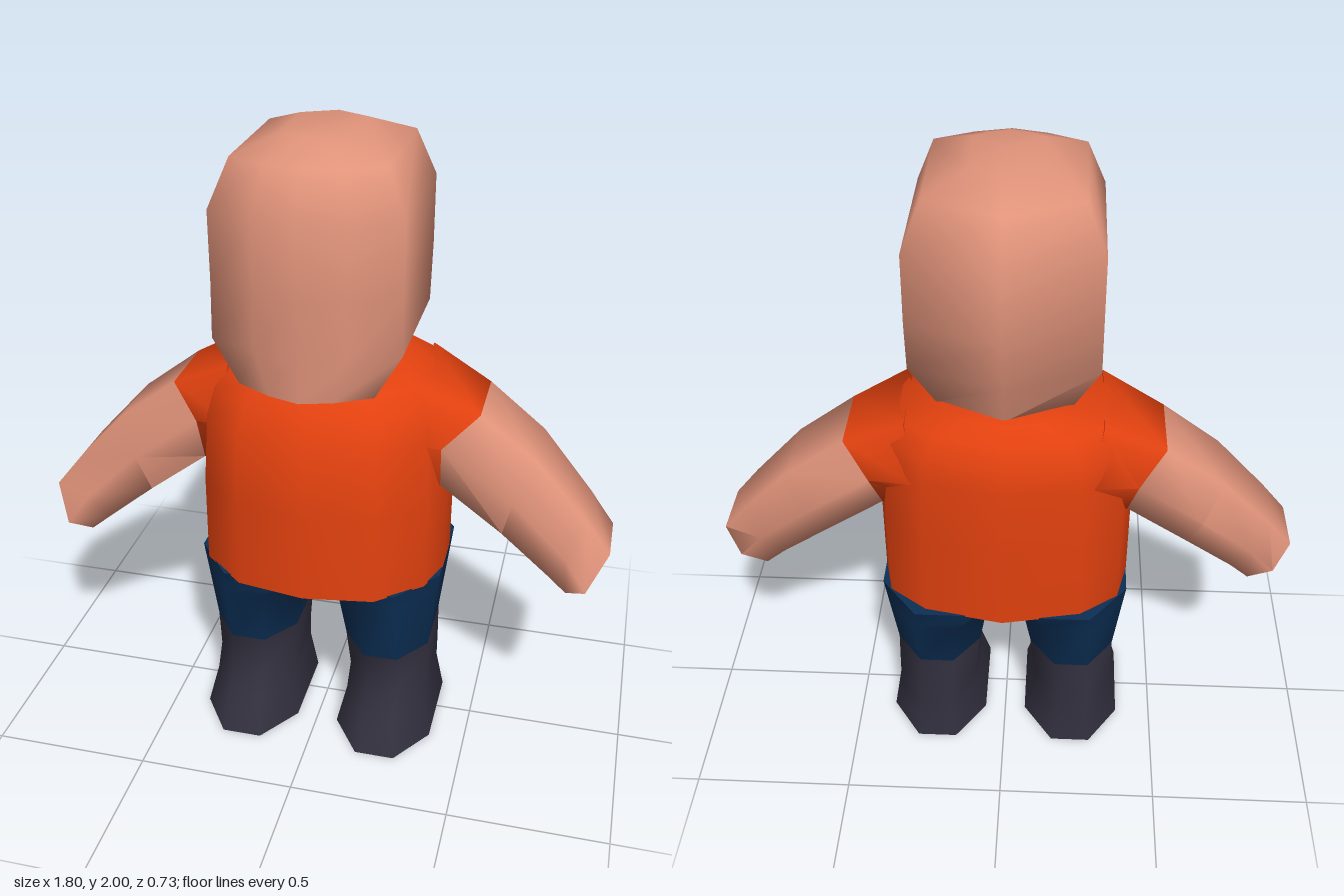
import * as THREE from 'three';
import { toCreasedNormals } from 'three/addons/utils/BufferGeometryUtils.js';

const material = (name, color) => {
  const m = new THREE.MeshStandardMaterial({ color });
  m.name = name;
  return m;
};

// Skin a list of equal-length point rings and close both ends.
function loft(rings) {
  const n = rings[0].length;
  const pos = rings.flat(2);
  const index = [];
  for (let r = 0; r < rings.length - 1; r++) {
    for (let i = 0; i < n; i++) {
      const a = r * n + i, b = r * n + (i + 1) % n;
      index.push(a, b, b + n, a, b + n, a + n);
    }
  }
  const cap = (r, flip) => {
    const c = pos.length / 3;
    for (let k = 0; k < 3; k++) pos.push(rings[r].reduce((s, p) => s + p[k], 0) / n);
    for (let i = 0; i < n; i++) {
      const a = r * n + i, b = r * n + (i + 1) % n;
      index.push(c, flip ? b : a, flip ? a : b);
    }
  };
  cap(0, true);
  cap(rings.length - 1, false);
  const g = new THREE.BufferGeometry();
  g.setAttribute('position', new THREE.Float32BufferAttribute(pos, 3));
  g.setIndex(index);
  return toCreasedNormals(g, 1.25);
}

const mirrorRings = rings => rings.map(r => r.map(([x, y, z]) => [-x, y, z]).reverse());

// Horizontal ring, symmetric in x, from a half outline of [x share, z share].
function bodyRing(outline, [y, w, front, back]) {
  const c = (front + back) / 2, d = (front - back) / 2;
  const half = outline.map(([u, t]) => [u * w, y, c + d * t]);
  const other = half.slice(1, -1).reverse().map(([x, yy, z]) => [-x, yy, z]);
  return [...half, ...other];
}

// Horizontal eight-sided ring for a leg.
function legRing([y, x0, x1, front, back]) {
  const cx = (x0 + x1) / 2, hx = (x1 - x0) / 2;
  const cz = (front + back) / 2, hz = (front - back) / 2;
  return [[-0.4, 1], [0.4, 1], [1, 0.5], [1, -0.5], [0.4, -1], [-0.4, -1], [-1, -0.5], [-1, 0.5]]
    .map(([u, t]) => [cx + u * hx, y, cz + t * hz]);
}

// Arm ring: [x, y, z] corners for the top pair, front, bottom pair and back.
const armRing = (top, front, bottom, back) => [
  [top[0], top[1], top[2]], front,
  [bottom[0], bottom[1], bottom[2]], [bottom[0], bottom[1], bottom[3]],
  back, [top[0], top[1], top[3]],
];

export function createModel() {
  const group = new THREE.Group();
  const skin = material('skin', 0xe0937a);
  const orange = material('orange shirt', 0xe2410f);
  const navy = material('navy trousers', 0x0c2f55);
  const dark = material('dark boots', 0x33303f);

  const add = (name, rings, mat) => {
    const mesh = new THREE.Mesh(loft(rings), mat);
    mesh.name = name;
    group.add(mesh);
  };
  const addPair = (name, rings, mat) => {
    add('left' + name, rings, mat);
    add('right' + name, mirrorRings(rings), mat);
  };

  // Head: rounded block with ridges down the middle of front and back
  const headOutline = [[0, 1], [0.48, 0.9], [1, 0.7], [1, -0.67], [0, -1]];
  add('head', [
    [1.295, 0.2, 0.352, -0.24],
    [1.43, 0.277, 0.357, -0.28],
    [1.6, 0.275, 0.363, -0.33],
    [1.81, 0.275, 0.368, -0.33],
    [1.95, 0.22, 0.31, -0.27],
    [2.0, 0.1, 0.18, -0.13],
  ].map(r => bodyRing(headOutline, r)), skin);

  // Shirt body
  const shirtOutline = [[0, 1], [0.55, 0.9], [0.9, 0.55], [1, 0.2], [1, -0.2], [0.92, -0.6], [0.62, -0.86], [0, -1]];
  add('shirt', [
    [0.615, 0.39, 0.33, -0.35],
    [0.9, 0.39, 0.33, -0.36],
    [1.12, 0.378, 0.315, -0.36],
    [1.2, 0.36, 0.265, -0.35],
    [1.26, 0.31, 0.225, -0.32],
    [1.305, 0.18, 0, -0.275],
  ].map(r => bodyRing(shirtOutline, r)), orange);

  // Short sleeves and bare arms meet at a slanted opening
  const opening = armRing([0.48, 1.17, 0.06, -0.18], [0.38, 1.09, 0.15], [0.375, 0.94, 0.1, -0.17], [0.4, 1.08, -0.25]);
  addPair('Sleeve', [
    armRing([0.29, 1.265, 0.1, -0.22], [0.26, 1.12, 0.2], [0.25, 0.95, 0.1, -0.17], [0.26, 1.1, -0.29]),
    opening,
  ], orange);
  addPair('Arm', [
    opening,
    armRing([0.66, 1.035, 0.065, -0.16], [0.6, 0.92, 0.13], [0.57, 0.785, 0.085, -0.13], [0.6, 0.94, -0.238]),
    armRing([0.82, 0.86, 0.075, -0.12], [0.77, 0.76, 0.145], [0.72, 0.665, 0.1, -0.1], [0.77, 0.78, -0.175]),
    armRing([0.9, 0.76, 0.085, -0.1], [0.84, 0.66, 0.163], [0.78, 0.617, 0.11, -0.1], [0.85, 0.68, -0.14]),
  ], skin);

  // Trouser legs joined at the crotch
  addPair('TrouserLeg', [
    [0.33, 0.085, 0.357, 0.2, -0.24],
    [0.54, 0.05, 0.38, 0.247, -0.305],
    [0.575, 0, 0.384, 0.255, -0.315],
    [0.62, 0, 0.389, 0.265, -0.33],
  ].map(legRing), navy);

  // Boots flaring out to the soles
  addPair('Boot', [
    [0, 0.068, 0.385, 0.293, -0.27],
    [0.12, 0.095, 0.358, 0.24, -0.258],
    [0.195, 0.098, 0.357, 0.185, -0.252],
    [0.33, 0.085, 0.357, 0.2, -0.24],
  ].map(legRing), dark);

  return group;
}
